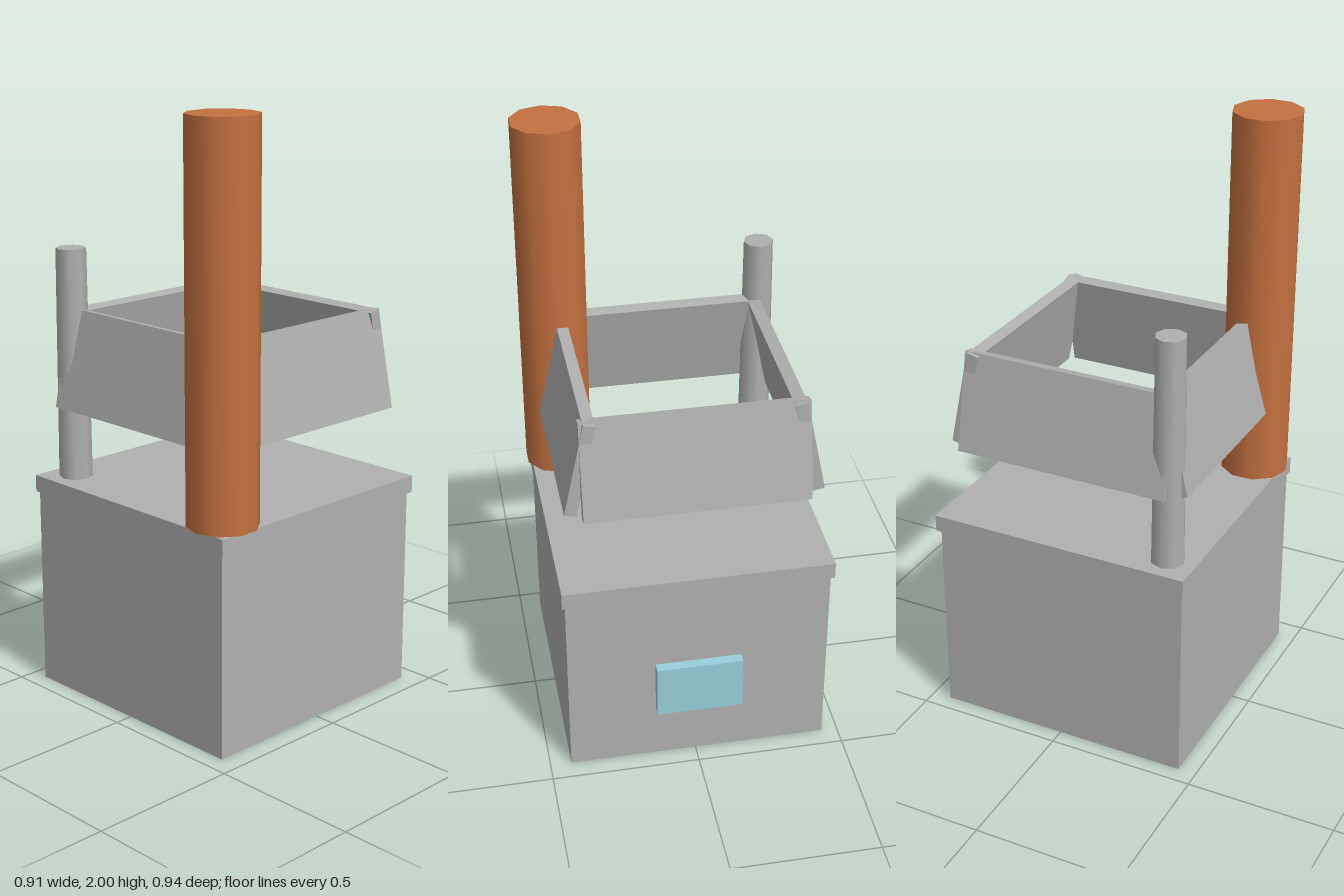
import * as THREE from 'three';

export function createModel() {
  const model = new THREE.Group();
  const material = (name, color) => {
    const m = new THREE.MeshStandardMaterial({ color });
    m.name = name;
    return m;
  };
  const grey = material('grey', 0xb0b0b0);
  const rust = material('rust orange', 0xc4713f);
  const glass = material('pale blue', 0x96cfdc);

  const add = (name, geometry, mat, x, y, z, parent = model) => {
    const mesh = new THREE.Mesh(geometry, mat);
    mesh.name = name;
    mesh.position.set(x, y, z);
    parent.add(mesh);
    return mesh;
  };

  // Building block with an overhanging roof slab
  add('body', new THREE.BoxGeometry(0.874, 0.68, 0.874), grey, -0.008, 0.34, 0.002);
  add('roofSlab', new THREE.BoxGeometry(0.895, 0.057, 0.895), grey, -0.008, 0.7065, -0.001);

  // Window box on the back wall
  add('window', new THREE.BoxGeometry(0.29, 0.19, 0.04), glass, -0.008, 0.295, -0.45);

  // Tall chimney and thin tapered pipe
  add('chimney', new THREE.CylinderGeometry(0.116, 0.116, 1.265, 10), rust, 0.343, 1.3675, 0.35);
  add('ventPipe', new THREE.CylinderGeometry(0.05, 0.056, 0.777, 8), grey, -0.36, 1.1225, 0.35);

  // Four flaps leaning outwards at the bottom, open in the middle
  const hood = new THREE.Group();
  hood.name = 'hood';
  hood.position.set(-0.008, 1.143, -0.001);
  model.add(hood);
  const flapGeometry = new THREE.BoxGeometry(0.731, 0.334, 0.04);
  ['front', 'left', 'back', 'right'].forEach((side, i) => {
    const arm = new THREE.Group();
    arm.name = side + 'FlapMount';
    arm.rotation.y = i * Math.PI / 2;
    hood.add(arm);
    add(side + 'Flap', flapGeometry, grey, 0, 0, 0.366, arm).rotation.x = -0.205;
  });

  return model;
}
